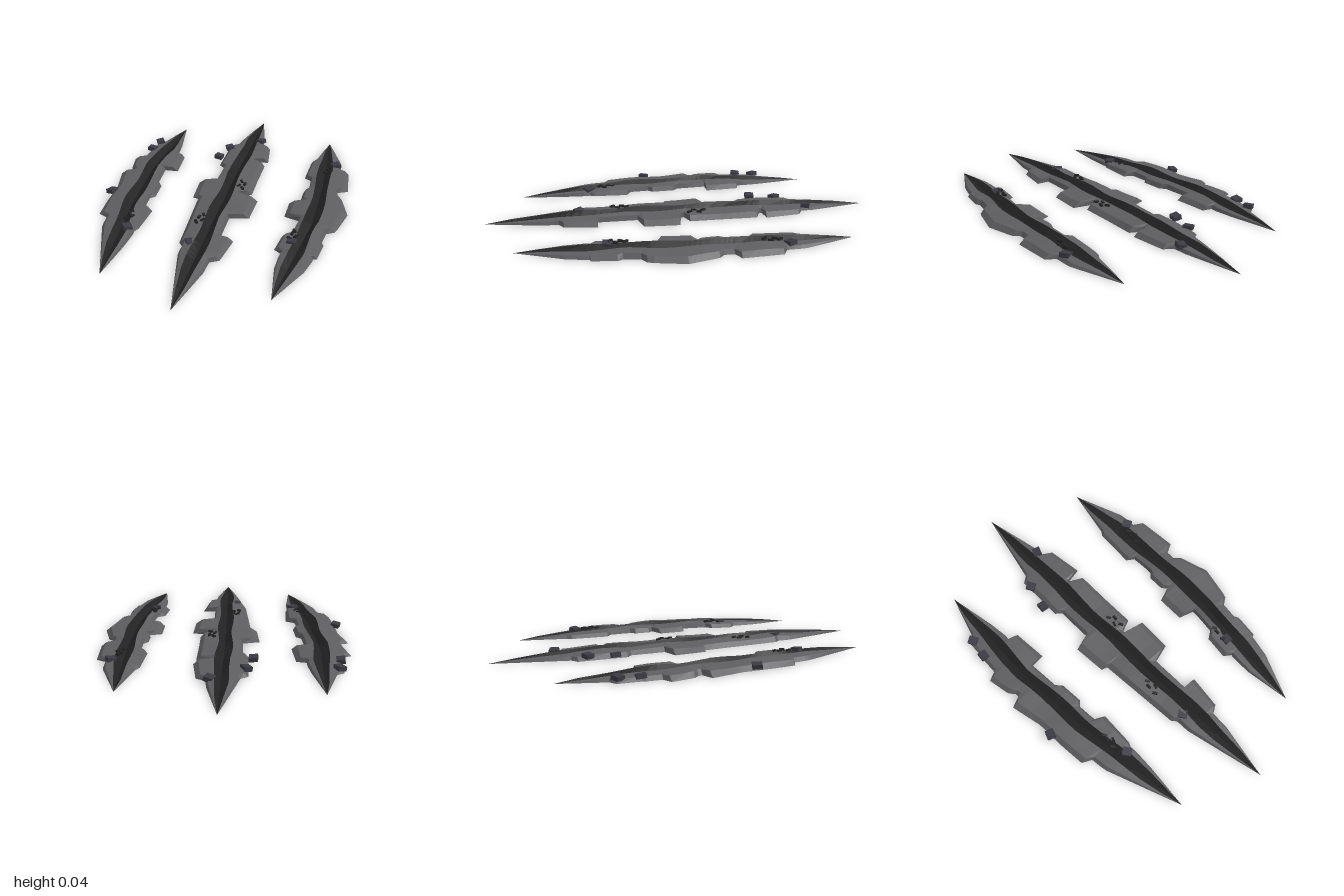
import * as THREE from 'three';

const rockMat = new THREE.MeshStandardMaterial({ color: 0x5e5e61, flatShading: true });
const grooveMat = new THREE.MeshStandardMaterial({ color: 0x222222, flatShading: true });
const chipMat = new THREE.MeshStandardMaterial({ color: 0x3a3a42, flatShading: true });
rockMat.name = 'grey rock';
grooveMat.name = 'dark groove';
chipMat.name = 'slate chips';

// x on a [z, x] polyline at a given z
function sample(line, z) {
  const i = Math.max(1, line.findIndex((p) => p[0] >= z));
  const [z0, x0] = line[i - 1], [z1, x1] = line[i];
  return THREE.MathUtils.mapLinear(z, z0, z1, x0, x1);
}

// Width of one bank: a tapering strip, widened by slabs [zStart, zEnd, width, endWidth]
function bankWidth({ width, slope, slabs }, z, tipDistance) {
  let w = Math.min(width, slope * tipDistance);
  for (const [z0, z1, w0, w1 = w0] of slabs) {
    if (z >= z0 && z <= z1) w = Math.max(w, THREE.MathUtils.mapLinear(z, z0, z1, w0, w1));
  }
  return w;
}

// Skin between neighbouring columns of the cross-section rows
function skin(rows, columns, material, name) {
  const pos = [];
  for (let i = 0; i + 1 < rows.length; i++) {
    for (const [a, b] of columns) {
      const p = rows[i][a], q = rows[i + 1][a], r = rows[i + 1][b], s = rows[i][b];
      pos.push(...p, ...q, ...r, ...p, ...r, ...s);
    }
  }
  const geo = new THREE.BufferGeometry();
  geo.setAttribute('position', new THREE.Float32BufferAttribute(pos, 3));
  geo.computeVertexNormals();
  const mesh = new THREE.Mesh(geo, material);
  mesh.name = name;
  return mesh;
}

// Small tilted block; the index varies its angle
function block(name, material, size, x, y, z, i) {
  const mesh = new THREE.Mesh(new THREE.BoxGeometry(...size), material);
  mesh.name = name;
  mesh.position.set(x, y, z);
  mesh.rotation.set(0.1 * Math.sin(i * 5), 0.6 * Math.sin(i * 2.3 + 1), 0.15 * Math.cos(i * 3));
  return mesh;
}

function makeGouge(name, { line, west, east, chips, crumbs }) {
  const group = new THREE.Group();
  group.name = name;
  const zBack = line[0][0], zFront = line[line.length - 1][0];

  // Stations along the gouge: even steps, plus both sides of every slab end
  const stations = new Set(line.map((p) => p[0]));
  for (let i = 1; i < 14; i++) stations.add(zBack + ((zFront - zBack) * i) / 14);
  for (const [z0, z1] of [...west.slabs, ...east.slabs]) {
    for (const z of [z0 - 0.025, z0, z1, z1 + 0.025]) stations.add(z);
  }

  // Section: outer edge, shoulder, crest, groove floor, crest, shoulder, outer edge
  const rows = [...stations].sort((a, b) => a - b).map((z) => {
    const d = Math.min(z - zBack, zFront - z);
    const rise = Math.pow(Math.min(1, d / 0.5), 0.75);
    const mid = sample(line, z);
    const half = 0.036 * Math.pow(Math.min(1, d / 0.35), 0.6);
    const bank = (side, sign) => {
      const w = bankWidth(side, z, d);
      const crest = Math.min(half * (1 + 0.15 * Math.sin(z * 13 + sign)), w * 0.6);
      const h = rise * (0.034 + 0.003 * Math.sin(z * 19 + sign * 2));
      return [
        [mid + sign * w, 0, z],
        [mid + sign * (w * 0.75 + crest * 0.25), h * 0.7, z],
        [mid + sign * crest, h, z],
      ];
    };
    return [...bank(west, -1), [mid, 0.007 * rise, z], ...bank(east, 1).reverse()];
  });
  group.add(
    skin(rows, [[0, 1], [1, 2]], rockMat, 'rightBank'),
    skin(rows, [[4, 5], [5, 6]], rockMat, 'leftBank'),
    skin(rows, [[2, 3], [3, 4]], grooveMat, 'groove'),
    skin(rows, [[6, 0]], rockMat, 'underside'),
  );

  // Broken chips lodged in the banks
  chips.forEach(([x, z], i) => group.add(block('chip', chipMat, [0.042, 0.022, 0.046], x, 0.024, z, i)));
  // Rows of fine crumbs on the groove rim
  for (const [x, z] of crumbs) {
    for (let i = 0; i < 4; i++) {
      const dx = 0.014 * Math.sin(i * 2.6 + z * 9);
      group.add(block('crumb', grooveMat, [0.012, 0.01, 0.026], x + dx, 0.033, z + (i - 1.5) * 0.024, i));
    }
  }
  return group;
}

export function createModel() {
  const model = new THREE.Group();
  model.name = 'gougeMarks';
  model.add(
    makeGouge('rightGouge', {
      line: [[-0.783, -0.468], [-0.2, -0.485], [0.2, -0.455], [0.83, -0.373]],
      west: {
        width: 0.1, slope: 0.26,
        slabs: [[-0.53, -0.4, 0.095], [-0.3, -0.18, 0.147, 0.12], [-0.11, 0.05, 0.16, 0.135], [0.06, 0.34, 0.135, 0.145]],
      },
      east: {
        width: 0.07, slope: 0.22,
        slabs: [[-0.39, -0.21, 0.12, 0.14], [-0.02, 0.1, 0.095], [0.25, 0.43, 0.115, 0.085]],
      },
      chips: [[-0.55, -0.52], [-0.565, -0.42], [-0.597, 0.13], [-0.385, 0.46]],
      crumbs: [[-0.405, 0.36]],
    }),
    makeGouge('middleGouge', {
      line: [[-1, -0.015], [-0.2, -0.015], [1, 0.01]],
      west: {
        width: 0.09, slope: 0.22,
        slabs: [[-0.59, -0.34, 0.12], [-0.11, 0.06, 0.175, 0.165], [0.07, 0.5, 0.135, 0.11]],
      },
      east: {
        width: 0.068, slope: 0.22,
        slabs: [[-0.62, -0.44, 0.115, 0.14], [-0.39, -0.04, 0.13], [0.02, 0.2, 0.173, 0.165], [0.43, 0.6, 0.135, 0.11]],
      },
      chips: [[-0.125, -0.54], [-0.157, -0.41], [0.035, -0.67], [-0.05, 0.52]],
      crumbs: [[0.055, -0.08], [-0.06, 0.31]],
    }),
    makeGouge('leftGouge', {
      line: [[-0.783, 0.437], [-0.2, 0.47], [0.2, 0.47], [0.83, 0.395]],
      west: {
        width: 0.07, slope: 0.26,
        slabs: [[-0.5, -0.3, 0.085, 0.105], [-0.13, -0.05, 0.092], [0, 0.14, 0.145], [0.33, 0.45, 0.107]],
      },
      east: {
        width: 0.085, slope: 0.32,
        slabs: [[-0.4, -0.2, 0.13, 0.135], [-0.1, 0.05, 0.115, 0.16], [0.05, 0.23, 0.16, 0.12], [0.36, 0.48, 0.1]],
      },
      chips: [[0.51, -0.45], [0.405, 0.4]],
      crumbs: [[0.48, -0.37], [0.405, 0.35]],
    }),
  );
  return model;
}
